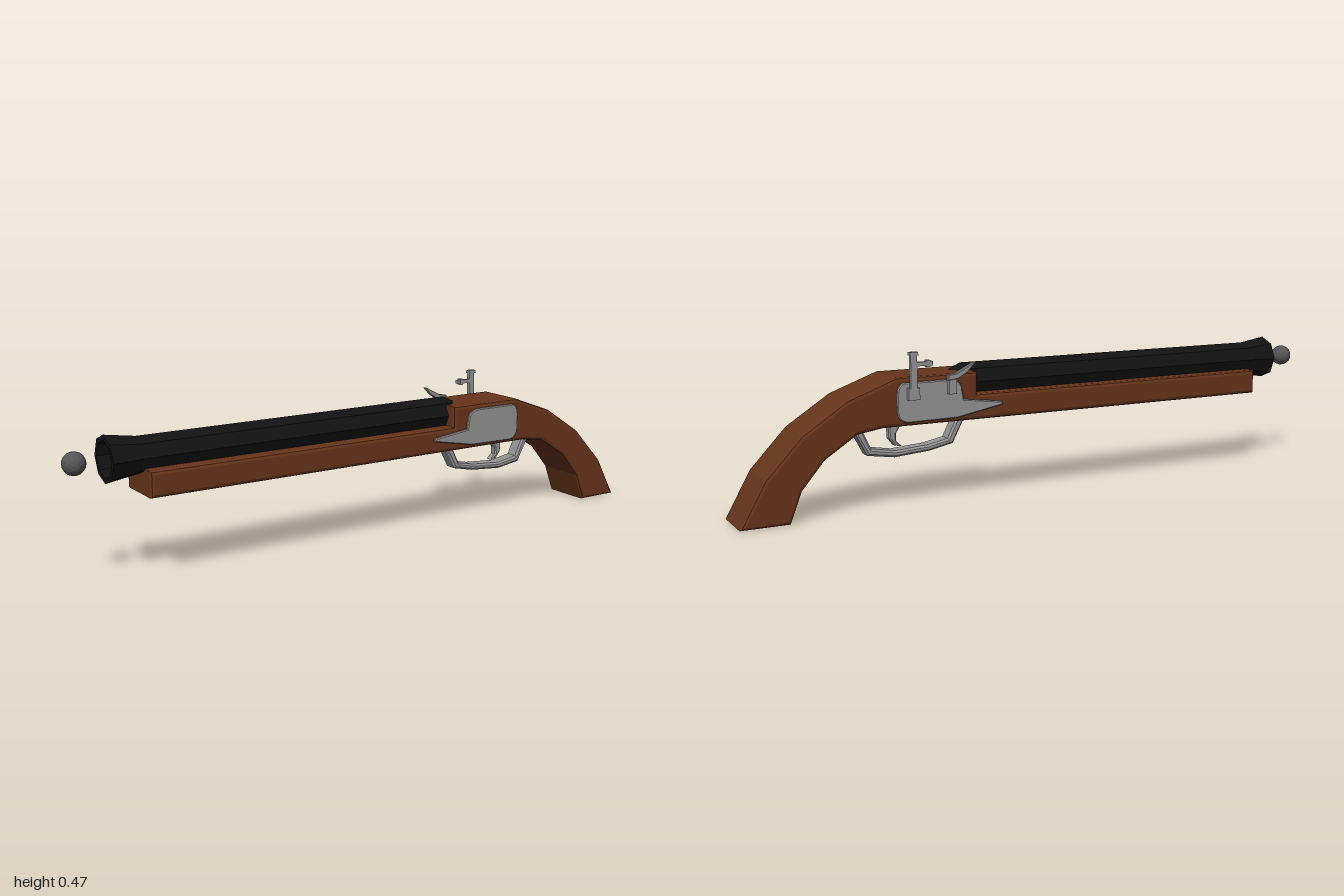
import * as THREE from 'three';

const MID = 0.01; // z of the centre plane

const paint = (color) => new THREE.MeshStandardMaterial({ color, flatShading: true });

// Closed outline from corner points
const outline = (pts) => new THREE.Shape(pts.map(([x, y]) => new THREE.Vector2(x, y)));

// Bevelled slab of an outline, filling z0..z1 with its outer edge on the outline
function slab(name, shape, z0, z1, bevel, material, bevelSegments = 1) {
  const g = new THREE.ExtrudeGeometry(shape, {
    depth: z1 - z0 - 2 * bevel, bevelEnabled: bevel > 0, bevelThickness: bevel,
    bevelSize: bevel, bevelOffset: -bevel, bevelSegments, curveSegments: 4,
  });
  g.translate(0, 0, z0 + bevel);
  const m = new THREE.Mesh(g, material);
  m.name = name;
  return m;
}

function box(name, w, h, d, x, y, z, material) {
  const m = new THREE.Mesh(new THREE.BoxGeometry(w, h, d), material);
  m.position.set(x, y, z);
  m.name = name;
  return m;
}

export function createModel() {
  const model = new THREE.Group();
  model.name = 'flintlockPistol';
  const wood = paint(0x67341b), iron = paint(0x121212);
  const steel = paint(0x949494), lead = paint(0x555555);

  // Stock: fore-end, raised breech and curved grip
  const stock = outline([
    [-0.78, 0.255], [0.57, 0.255], [0.65, 0.243], [0.75, 0.178], [0.82, 0.095], [0.855, 0.004],
    [1.0, 0.004], [0.925, 0.14], [0.815, 0.257], [0.68, 0.345], [0.53, 0.4],
    [0.27, 0.4], [0.27, 0.333], [-0.78, 0.333],
  ]);
  model.add(slab('stock', stock, -0.076, 0.095, 0.011, wood, 2));

  // Octagonal barrel with flared muzzle and hollow bore: [radius, distance forward]
  const profile = [
    [0, -0.325], [0.038, -0.325], [0.055, -0.29], [0.055, 0.785], [0.07, 0.88],
    [0.055, 0.88], [0.038, 0.79], [0.038, 0.4], [0, 0.4],
  ].map(([r, d]) => new THREE.Vector2(r, d));
  const barrel = new THREE.Mesh(new THREE.LatheGeometry(profile, 8).rotateZ(Math.PI / 2), iron);
  barrel.position.set(0, 0.365, MID);
  barrel.name = 'barrel';
  model.add(barrel);

  // Ball in front of the muzzle
  const ball = new THREE.Mesh(new THREE.IcosahedronGeometry(0.034, 2), lead);
  ball.position.set(-0.966, 0.365, MID);
  ball.name = 'ball';
  model.add(ball);

  // Lock plates on both sides, with a pointed tail toward the muzzle
  const plate = new THREE.Shape();
  plate.moveTo(0.19, 0.296);
  plate.lineTo(0.34, 0.268);
  plate.lineTo(0.5, 0.266);
  plate.quadraticCurveTo(0.53, 0.27, 0.532, 0.3);
  plate.lineTo(0.532, 0.35);
  plate.quadraticCurveTo(0.53, 0.38, 0.51, 0.385);
  plate.lineTo(0.36, 0.385);
  plate.quadraticCurveTo(0.33, 0.38, 0.326, 0.36);
  plate.lineTo(0.32, 0.322);
  plate.lineTo(0.19, 0.306);
  model.add(slab('leftLockPlate', plate, 0.088, 0.103, 0.003, steel));
  model.add(slab('rightLockPlate', plate, -0.084, -0.07, 0.003, steel));

  // Trigger guard: a bent strap under the breech
  const guard = outline([
    [0.28, 0.262], [0.325, 0.177], [0.4, 0.161], [0.515, 0.152], [0.6, 0.165], [0.645, 0.25],
    [0.618, 0.25], [0.588, 0.185], [0.513, 0.172], [0.405, 0.18], [0.342, 0.193], [0.308, 0.262],
  ]);
  model.add(slab('triggerGuard', guard, MID - 0.025, MID + 0.025, 0.006, steel));

  // Trigger
  const trigger = outline([
    [0.48, 0.265], [0.505, 0.222], [0.506, 0.2], [0.488, 0.182],
    [0.51, 0.185], [0.528, 0.208], [0.53, 0.265],
  ]);
  model.add(slab('trigger', trigger, MID - 0.013, MID + 0.013, 0.004, steel));

  // Hammer on the right side: pivot, post, cap and jaw
  const hammer = new THREE.Group();
  hammer.name = 'hammer';
  hammer.add(
    box('pivot', 0.035, 0.035, 0.024, 0.485, 0.352, -0.088, steel),
    box('post', 0.02, 0.13, 0.013, 0.485, 0.405, -0.093, steel),
    box('cap', 0.026, 0.01, 0.017, 0.485, 0.47, -0.093, steel),
    box('jaw', 0.06, 0.012, 0.013, 0.455, 0.439, -0.093, steel),
    box('jawTip', 0.012, 0.02, 0.016, 0.44, 0.439, -0.093, steel),
  );
  model.add(hammer);

  // Frizzen on the right side: curved striking arm on a pivot block
  const frizzen = new THREE.Group();
  frizzen.name = 'frizzen';
  const arm = outline([
    [0.288, 0.433], [0.315, 0.405], [0.345, 0.388], [0.378, 0.384],
    [0.378, 0.4], [0.35, 0.405], [0.32, 0.42], [0.295, 0.433],
  ]);
  frizzen.add(
    slab('strikingArm', arm, -0.101, -0.086, 0.002, steel),
    box('pivotBlock', 0.024, 0.05, 0.02, 0.362, 0.368, -0.089, steel),
  );
  model.add(frizzen);

  return model;
}
